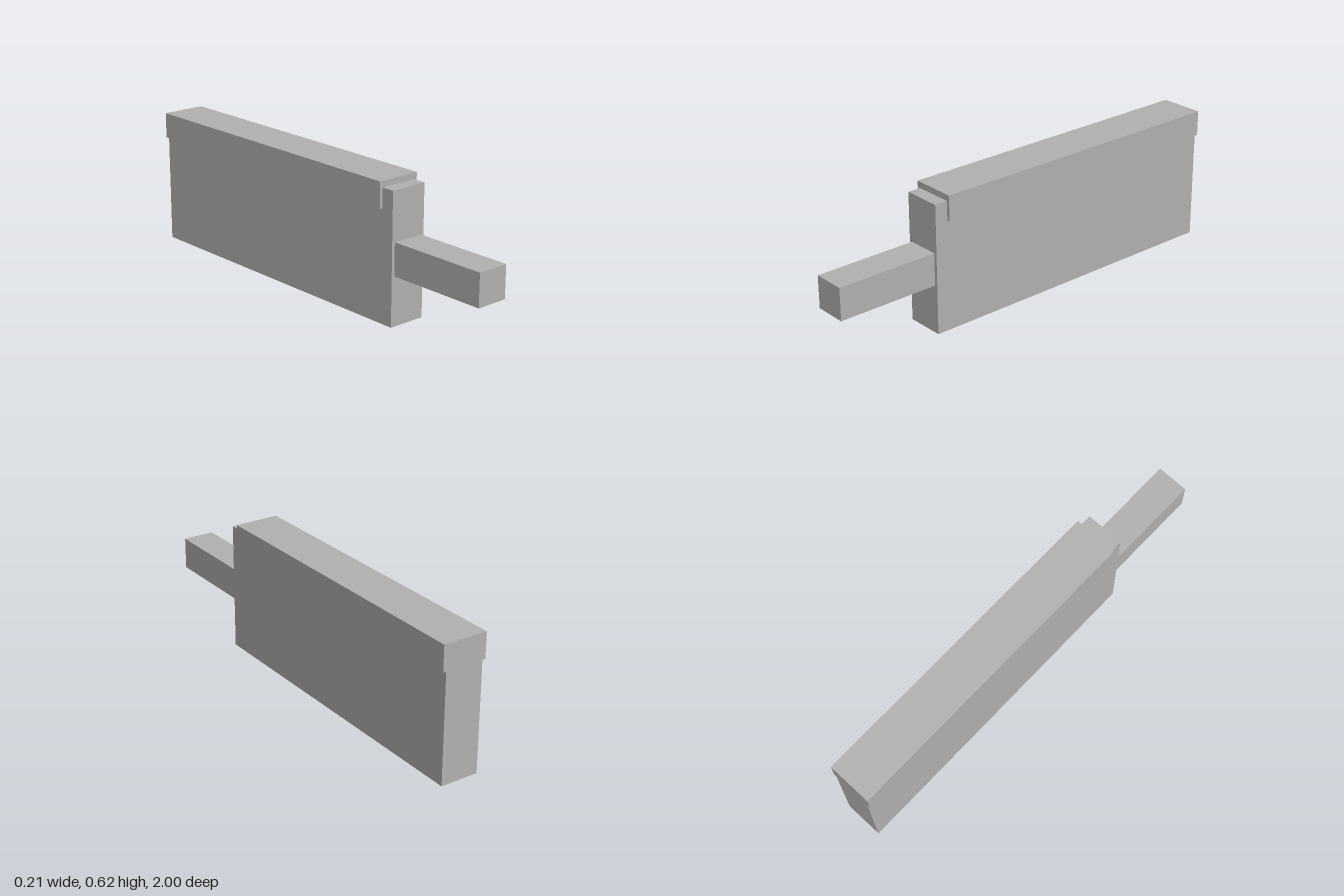
import * as THREE from 'three';

export function createModel() {
  const model = new THREE.Group();
  const grey = new THREE.MeshStandardMaterial({ color: 0xb2b2b2 });
  grey.name = 'plain grey';

  // Box centred on x, given its width and its y and z ranges
  const addBlock = (name, width, [y0, y1], [z0, z1]) => {
    const geometry = new THREE.BoxGeometry(width, y1 - y0, z1 - z0);
    geometry.translate(0, (y0 + y1) / 2, (z0 + z1) / 2);
    const mesh = new THREE.Mesh(geometry, grey);
    mesh.name = name;
    model.add(mesh);
  };

  // Tall narrow body
  addBlock('body', 0.177, [0, 0.59], [-1, 0.53]);
  // Wider cap over the top, set back from the front edge
  addBlock('topCap', 0.206, [0.501, 0.618], [-1, 0.47]);
  // Square bar projecting from the front
  addBlock('frontBar', 0.148, [0.222, 0.369], [0.53, 1]);

  return model;
}
